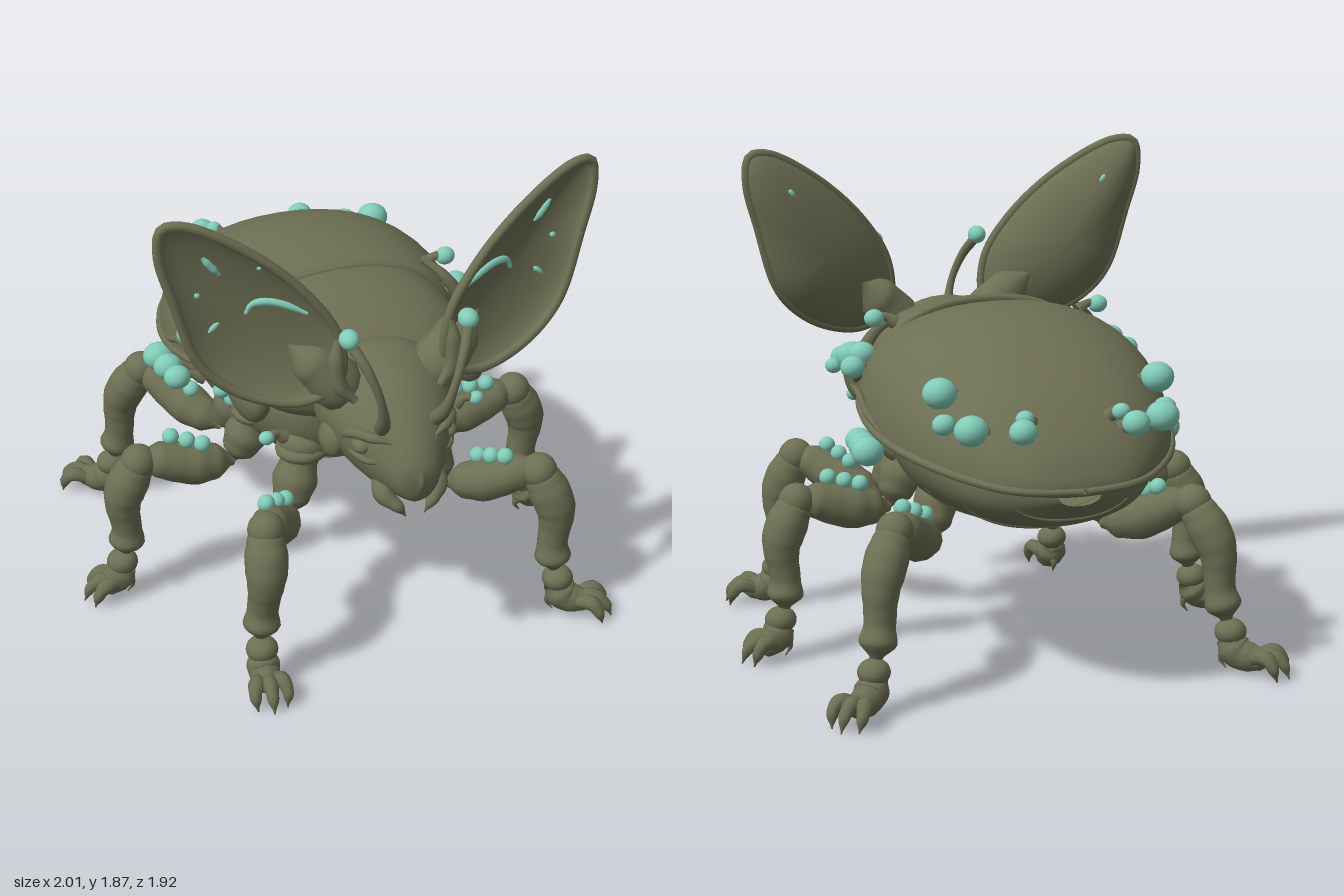
import * as THREE from 'three';
import { mergeVertices } from 'three/addons/utils/BufferGeometryUtils.js';

const V = (x, y, z) => new THREE.Vector3(x, y, z);
const mix = (a, b, t) => a.clone().lerp(b, t);
const list = (n, fn) => Array.from({ length: n + 1 }, (_, i) => fn(i / n));

// Smooth grid: rows along u, columns wrapping round, point from fn(u, angle)
function ringGrid(rows, cols, fn) {
  const pos = [], idx = [];
  for (let i = 0; i <= rows; i++) {
    for (let j = 0; j < cols; j++) pos.push(...fn(i / rows, (j / cols) * Math.PI * 2).toArray());
  }
  for (let i = 0; i < rows; i++) for (let j = 0; j < cols; j++) {
    const k = (j + 1) % cols, a = i * cols, b = a + cols;
    idx.push(a + j, b + j, a + k, b + j, b + k, a + k);
  }
  const g = new THREE.BufferGeometry();
  g.setAttribute('position', new THREE.Float32BufferAttribute(pos, 3));
  g.setIndex(idx);
  g.computeVertexNormals();
  return g;
}

// Tube with changing thickness
function taper(points, radii, segs = 24, sides = 12) {
  const curve = new THREE.CatmullRomCurve3(points);
  let g = new THREE.TubeGeometry(curve, segs, 1, sides);
  const p = g.attributes.position, v = V(0, 0, 0);
  for (let i = 0; i < p.count; i++) {
    const u = Math.floor(i / (sides + 1)) / segs, c = curve.getPointAt(u);
    const f = u * (radii.length - 1), k = Math.min(Math.floor(f), radii.length - 2);
    const r = THREE.MathUtils.lerp(radii[k], radii[k + 1], THREE.MathUtils.smoothstep(f - k, 0, 1));
    v.fromBufferAttribute(p, i).sub(c).multiplyScalar(r).add(c);
    p.setXYZ(i, v.x, v.y, v.z);
  }
  g.deleteAttribute('uv');
  g.deleteAttribute('normal');
  g = mergeVertices(g, 1e-5);
  g.computeVertexNormals();
  return g;
}

// Thin raised fold that fades at both ends
const ridge = (points, r, end = .006) => taper(points, [end, r, r, end], 36, 8);

const blob = (c, rx, ry = rx, rz = rx) =>
  new THREE.SphereGeometry(1, 20, 14).scale(rx, ry, rz).translate(c.x, c.y, c.z);

// Body section function from stations [z, half width, top, middle, bottom], front to back
function sections(st, power = 2.2) {
  const a = new THREE.CatmullRomCurve3(st.map(s => V(s[0], s[1], s[2])));
  const b = new THREE.CatmullRomCurve3(st.map(s => V(s[3], s[4], s[0])));
  const round = c => Math.sign(c) * Math.pow(Math.abs(c), 2 / power);
  return (u, ang) => {
    const p = a.getPoint(u), q = b.getPoint(u), s = round(Math.sin(ang));
    return V(Math.max(p.y, 0) * round(Math.cos(ang)), q.x + s * (s > 0 ? p.z - q.x : q.x - q.y), p.x);
  };
}

function flip(geo) {
  const g = geo.clone().scale(-1, 1, 1), ix = g.index;
  for (let i = 0; i < ix.count; i += 3) {
    const t = ix.getX(i);
    ix.setX(i, ix.getX(i + 1));
    ix.setX(i + 1, t);
  }
  g.computeVertexNormals();
  return g;
}

export function createModel() {
  const model = new THREE.Group();
  model.name = 'bigEaredBeetle';
  const hide = new THREE.MeshStandardMaterial({ name: 'olive hide', color: 0x6e7054, side: THREE.DoubleSide });
  const glow = new THREE.MeshStandardMaterial({ name: 'pale teal', color: 0x82ccb8, side: THREE.DoubleSide });
  const add = (name, geo, mat = hide, parent = model) => {
    const m = new THREE.Mesh(geo, mat);
    m.name = name;
    parent.add(m);
  };
  const pair = (name, geo, mat = hide) => {
    add(name + 'Left', geo, mat);
    add(name + 'Right', flip(geo), mat);
  };
  const across = (fn, u, a0, a1) => list(14, t => fn(u, a0 + (a1 - a0) * t));

  // Wing case with rim and front ridge
  const shell = sections([
    [.1, .36, 1.25, 1.02, .92], [.06, .5, 1.31, 1, .9], [-.15, .555, 1.35, .95, .87], [-.4, .54, 1.315, .91, .85],
    [-.7, .43, 1.16, .87, .82], [-.88, .27, .98, .835, .8], [-.935, .15, .88, .825, .8], [-.95, .005, .83, .82, .81]]);
  add('wingCase', ringGrid(48, 48, shell));
  pair('wingCaseRim', taper(list(24, t => shell(.02 + .98 * t, 0)), [.012, .016, .014], 50, 8));
  add('wingCaseFrontRidge', ridge(across(shell, .1, .35, Math.PI - .35), .015));
  pair('sideSeam', ridge([V(.53, 1.02, .1), V(.555, 1.03, -.08), V(.56, .98, -.2), V(.55, .94, -.32)], .014));

  // Neck shield and its raised borders
  const shield = sections([
    [.52, .12, 1.14, 1.06, 1], [.48, .33, 1.2, 1.04, .93], [.36, .42, 1.27, 1.04, .9],
    [.22, .44, 1.315, 1.06, .9], [.1, .41, 1.325, 1.08, .92], [.05, .3, 1.27, 1.08, .95]]);
  add('neckShield', ringGrid(32, 48, shield));
  [.2, .82].forEach(u => add('shieldRidge', ridge(across(shield, u, -.2, Math.PI + .2), .018)));
  pair('shoulderLobe', blob(V(.42, 1.02, .3), .07, .12, .17));
  pair('shoulderStrap', ridge([V(.36, 1.28, .06), V(.43, 1.22, .11), V(.49, 1.1, .14), V(.4, .92, .36)], .025, .015));

  // Belly with segment ridges
  const belly = sections([
    [.46, .12, 1, .92, .82], [.4, .26, 1.04, .9, .72], [.22, .36, 1.05, .88, .6], [-.1, .44, 1.05, .9, .565],
    [-.4, .45, 1, .88, .59], [-.75, .33, .92, .82, .65], [-.91, .08, .83, .8, .76]]);
  add('belly', ringGrid(36, 40, belly));
  for (let u = .3; u < .95; u += .12) {
    add('bellyRidge', ridge(across(belly, u, Math.PI + .5, Math.PI * 2 - .5), .007, .003));
  }

  // Head, eyes, cheeks and jaws
  add('head', ringGrid(32, 36, sections([
    [.955, .008, .93, .91, .88], [.935, .07, .98, .91, .82], [.88, .115, 1.06, .94, .8], [.8, .175, 1.14, .99, .79],
    [.7, .22, 1.21, 1.03, .79], [.55, .25, 1.255, 1.05, .81], [.42, .2, 1.2, 1.04, .85], [.38, .03, 1.08, 1.04, .98]], 2)));
  add('nose', blob(V(0, .86, .9), .05, .06, .04));
  pair('eye', blob(V(.165, 1, .785), .032, .028, .045));
  pair('browRidge', ridge([V(.08, 1.04, .88), V(.14, 1.05, .835), V(.19, 1.04, .76), V(.21, .99, .7)], .02));
  pair('underEyeFold', ridge([V(.1, .96, .87), V(.16, .955, .82), V(.2, .97, .72)], .013));
  pair('cheek', blob(V(.21, .95, .63), .05, .075, .07));
  pair('jaw', taper([V(.1, .87, .8), V(.1, .82, .86), V(.06, .78, .9), V(.035, .74, .9)], [.03, .04, .025, .003]));

  // Ears: cupped to the front and rounded at the back
  const outline = new THREE.CatmullRomCurve3([
    [.77, 1.57], [.815, 1.75], [.8, 1.85], [.72, 1.855], [.5, 1.735], [.31, 1.56],
    [.2, 1.38], [.2, 1.2], [.32, 1.125], [.52, 1.165], [.68, 1.3]].map(p => V(p[0], p[1], 0)), true);
  const earMid = V(.5, 1.44, 0), cup = .085, back = .13;
  const earPoint = (rho, t, depth) => {
    const p = mix(earMid, outline.getPoint(t % 1), rho);
    p.z = .735 - .22 * p.x - depth * Math.pow(Math.max(0, 1 - rho * rho), .55);
    return p;
  };
  pair('ear', ringGrid(28, 56, (u, a) => earPoint(Math.sin(Math.PI * u), a / (Math.PI * 2), u < .5 ? cup : back)));
  pair('earRim', taper(list(42, t => earPoint(.98, t, cup)), [.018, .018], 84, 8));
  pair('earStem', taper([V(.12, 1.08, .6), V(.2, 1.17, .61), V(.27, 1.25, .595), V(.36, 1.33, .565)], [.08, .1, .085, .02]));
  pair('earFold', ridge([V(.16, 1.14, .72), V(.21, 1.2, .7), V(.22, 1.3, .69), V(.21, 1.38, .68)], .03, .015));

  // Teal flecks lying in the cup: start and end as share of radius and place round the outline
  const fleck = (r0, t0, r1, t1, w, depth = cup) => pair('earFleck', taper(
    list(4, k => earPoint(r0 + (r1 - r0) * k, t0 + (t1 - t0) * k, depth)), [w / 2, w, w, w / 2], 16, 8), glow);
  fleck(.78, .5, .08, .364, .016);
  fleck(.46, .285, .63, .255, .014);
  fleck(.4, .955, .6, .94, .01);
  fleck(.54, .036, .63, .025, .01);
  fleck(.8, .38, .86, .385, .008);
  fleck(.6, .27, .66, .26, .01, back);

  // Antennae with bulbs
  pair('antenna', taper([V(.1, 1.07, .82), V(.115, 1.14, .88), V(.14, 1.25, .905), V(.18, 1.36, .88), V(.215, 1.43, .83)],
    [.028, .015, .02]));
  pair('antennaBulb', blob(V(.22, 1.45, .815), .036, .036, .042), glow);

  // Legs: hip, elbow, knee, ankle, toe
  function leg(name, pts) {
    const g = new THREE.Group();
    g.name = name;
    model.add(g);
    const [hip, elbow, knee, ankle, toe] = pts;
    const out = toe.clone().sub(ankle).setY(0).normalize();
    const side = V(-out.z, 0, out.x);
    const off = (p, o, s, y) => p.clone().addScaledVector(out, o).addScaledVector(side, s).add(V(0, y, 0));
    const part = (label, geo, mat = hide) => add(label, geo, mat, g);
    part('hipSegment', taper([hip, mix(hip, elbow, .5), elbow], [.06, .095, .07, .085, .07, .01]));
    part('hipCollar', blob(mix(hip, elbow, .25), .1, .045, .1));
    part('thigh', taper([elbow, off(mix(elbow, knee, .5), 0, 0, -.02), knee], [.02, .07, .085, .078, .07, .03]));
    part('kneeJoint', blob(off(knee, .01, 0, -.02), .068));
    part('shin', taper([knee, off(mix(knee, ankle, .4), .045, 0, 0), off(mix(knee, ankle, .75), .01, 0, 0), ankle],
      [.04, .07, .08, .078, .068, .06, .058, .07, .02], 32, 16));
    part('ankle', blob(off(ankle, .015, 0, -.04), .06, .05, .06));
    part('foot', taper([off(ankle, 0, 0, -.06), off(ankle, .05, 0, -.12), off(toe, -.1, 0, .05), off(toe, -.06, 0, .04)],
      [.045, .064, .058, .045, .01]));
    for (let s = -1; s <= 1; s++) {
      part('claw', taper([off(toe, -.13, s * .03, .06), off(toe, -.08, s * .05, .075),
        off(toe, -.03 - Math.abs(s) * .02, s * .06, .05), off(toe, -Math.abs(s) * .03, s * .055, -.01)],
        [.025, .03, .022, .003], 16, 8));
    }
    part('heelClaw', taper([off(ankle, .02, 0, -.1), off(ankle, -.02, 0, -.15), off(ankle, 0, 0, -.185)], [.03, .003], 12, 8));
    [.35, .5, .66].forEach(t => part('legBead', blob(off(mix(elbow, knee, t), 0, (t - .5) * .15, .08), .032), glow));
  }
  leg('frontLegRight', [V(-.2, .82, .32), V(-.31, .5, .41), V(-.48, .66, .66), V(-.52, .2, .71), V(-.54, .015, .92)]);
  leg('frontLegLeft', [V(.2, .82, .32), V(.33, .5, .4), V(.6, .65, .63), V(.67, .2, .68), V(.87, .015, .79)]);
  [['Right', -1], ['Left', 1]].forEach(([n, s]) => {
    const toSide = p => V(s * p.x, p.y, p.z);
    leg('middleLeg' + n, [V(.28, .84, .08), V(.4, .55, .05), V(.76, .63, .03), V(.83, .2, .01), V(1, .015, 0)].map(toSide));
    leg('hindLeg' + n, [V(.25, .82, -.13), V(.34, .5, -.28), V(.57, .66, -.58), V(.68, .2, -.68), V(.86, .015, -.85)].map(toSide));
  });

  // Teal beads (centre, radius), each on a short stalk leaning in to the body
  const bead = (x, y, z, r) => {
    const p = V(x, y, z), root = V(x * .82, y - .02, z * .96);
    pair('bead', blob(p, r * 1.12, r, r), glow);
    pair('beadStalk', taper([root, mix(root, p, .5).add(V(0, .015, 0)), p], [.028, .016, .018], 8, 8));
  };
  // shoulder cluster
  bead(.48, 1.1, .26, .055);
  bead(.49, 1.08, .36, .04);
  bead(.53, 1.05, .34, .03);
  bead(.44, .92, .2, .036);
  bead(.43, .93, .25, .032);
  bead(.41, .9, .48, .026);
  // waist cluster
  bead(.45, 1.28, .06, .034);
  bead(.5, 1.15, .05, .045);
  bead(.55, 1.11, .01, .042);
  // row under the rim
  for (let i = 0; i < 3; i++) bead(.565 + i * .01, .86, -.11 - i * .09, .046 + i * .004);
  // rear clusters
  bead(.415, 1.13, -.61, .056);
  bead(.42, 1.03, -.67, .038);
  bead(.36, 1.03, -.79, .055);
  bead(.21, 1.04, -.905, .045);
  bead(.18, 1.07, -.84, .03);

  return model;
}
